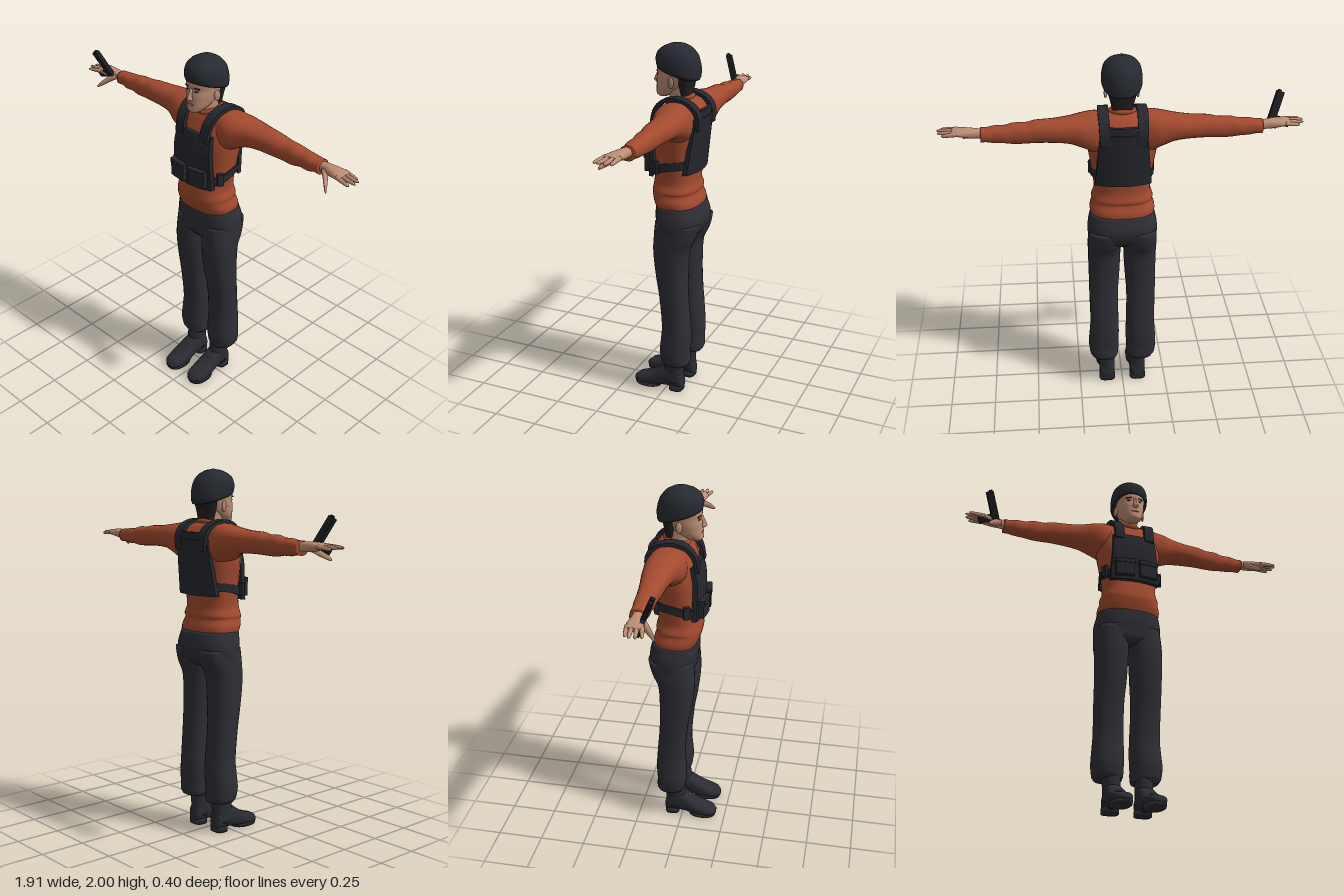
import * as THREE from 'three';

const mat = (name, color) => {
  const m = new THREE.MeshStandardMaterial({ color });
  m.name = name;
  return m;
};
const M = {
  sweater: mat('rust sweater', 0xa34a2f),
  pants: mat('charcoal trousers', 0x2e2e36),
  boots: mat('dark boots', 0x2b2c33),
  vest: mat('black vest', 0x25272d),
  helmet: mat('dark helmet', 0x272a31),
  skin: mat('skin', 0xbd8d75),
  lips: mat('lips', 0x94604f),
  dark: mat('hair and eyes', 0x221f20),
  gun: mat('gunmetal', 0x1c1d21),
};

// Smooth interpolation through rows of numbers
function spline(rows, sub) {
  const out = [], n = rows.length;
  for (let i = 0; i < n - 1; i++) {
    const a = rows[Math.max(i - 1, 0)], b = rows[i], c = rows[i + 1], d = rows[Math.min(i + 2, n - 1)];
    for (let s = 0; s < sub; s++) {
      const t = s / sub;
      out.push(b.map((_, k) => k === 0 ? b[0] + (c[0] - b[0]) * t :
        0.5 * (2 * b[k] + (c[k] - a[k]) * t + (2 * a[k] - 5 * b[k] + 4 * c[k] - d[k]) * t * t
          + (3 * b[k] - a[k] - 3 * c[k] + d[k]) * t * t * t)));
    }
  }
  out.push(rows[n - 1]);
  return out;
}

// Closed skin over rounded sections [t, u0, u1, v0, v1], given in rising t.
// axis 0: t=x, u=z, v=y   axis 1: t=y, u=x, v=z   axis 2: t=z, u=y, v=x
function loft(axis, rows, { sides = 24, power = 2.3, sub = 4 } = {}) {
  const secs = spline(rows, sub), pos = [], idx = [], u = (axis + 2) % 3, v = (axis + 1) % 3;
  const put = (t, a, b) => { const p = []; p[axis] = t; p[u] = a; p[v] = b; pos.push(...p); };
  const se = (c) => Math.sign(c) * Math.pow(Math.abs(c), 2 / power);
  for (const [t, u0, u1, v0, v1] of secs)
    for (let j = 0; j < sides; j++) {
      const th = j / sides * Math.PI * 2;
      put(t, (u0 + u1) / 2 + (u1 - u0) / 2 * se(Math.cos(th)), (v0 + v1) / 2 + (v1 - v0) / 2 * se(Math.sin(th)));
    }
  const last = (secs.length - 1) * sides, c0 = secs.length * sides;
  for (const s of [secs[0], secs[secs.length - 1]]) put(s[0], (s[1] + s[2]) / 2, (s[3] + s[4]) / 2);
  for (let j = 0; j < sides; j++) {
    const k = (j + 1) % sides;
    for (let i = 0; i < last; i += sides)
      idx.push(i + j, i + sides + j, i + k, i + k, i + sides + j, i + sides + k);
    idx.push(c0, j, k, c0 + 1, last + k, last + j);
  }
  const g = new THREE.BufferGeometry();
  g.setAttribute('position', new THREE.Float32BufferAttribute(pos, 3));
  g.setIndex(idx);
  g.computeVertexNormals();
  return g;
}
// Symmetric upright loft from rows [y, half width, z0, z1]
const body = (rows, o) => loft(1, rows.map(([y, w, a, b]) => [y, -w, w, a, b]), o);

// Move each vertex by a rule
function warp(g, rule) {
  const p = g.attributes.position, q = new THREE.Vector3();
  for (let i = 0; i < p.count; i++) {
    rule(q.fromBufferAttribute(p, i));
    p.setXYZ(i, q.x, q.y, q.z);
  }
  g.computeVertexNormals();
  return g;
}

// Flat band of width w along W, following a smooth path
function strap(points, w, t, W) {
  const curve = new THREE.CatmullRomCurve3(points.map((p) => new THREE.Vector3(...p)));
  return warp(new THREE.BoxGeometry(w, 1, t, 1, 20, 1), (q) => {
    const s = THREE.MathUtils.clamp(q.y + 0.5, 0, 1), T = curve.getTangent(s);
    const N = new THREE.Vector3().crossVectors(W, T).normalize();
    q.copy(curve.getPoint(s).addScaledVector(W, q.x).addScaledVector(N, q.z));
  });
}

// Curved plate hugging the trunk: depth(y) at the middle, falling off sideways
function plate(x, y, w, h, t, depth, k, taper = 0) {
  return warp(new THREE.BoxGeometry(w, h, t, 10, 8, 1), (q) => {
    q.x = x + q.x * (1 - taper * (q.y / h + 0.5));
    q.y += y;
    q.z += depth(q.y) - k * q.x * q.x;
  });
}

function mirrored(g) {
  const m = g.clone().scale(-1, 1, 1), ix = m.index.array;
  for (let i = 0; i < ix.length; i += 3) [ix[i], ix[i + 1]] = [ix[i + 1], ix[i]];
  m.computeVertexNormals();
  return m;
}

export function createModel() {
  const root = new THREE.Group();
  root.name = 'figure';
  const add = (name, g, m) => {
    const mesh = new THREE.Mesh(g, m);
    mesh.name = name;
    root.add(mesh);
    return mesh;
  };
  const pair = (name, g, m) => { add('left ' + name, g, m); add('right ' + name, mirrored(g), m); };
  const X = new THREE.Vector3(1, 0, 0), Y = new THREE.Vector3(0, 1, 0);

  // Trousers
  add('hips', body([[0.94, 0.15, -0.13, 0.04], [0.97, 0.183, -0.165, 0.062], [1.02, 0.19, -0.188, 0.068],
    [1.07, 0.188, -0.19, 0.074], [1.135, 0.174, -0.172, 0.074]], { sides: 32, power: 2.5 }), M.pants);
  pair('trouser leg', loft(1, [[0.18, 0.03, 0.175, -0.138, 0.008], [0.2, 0.024, 0.188, -0.145, 0.018],
    [0.26, 0.022, 0.195, -0.143, 0.026], [0.33, 0.02, 0.19, -0.147, 0.022], [0.42, 0.022, 0.184, -0.143, 0.016],
    [0.6, 0.024, 0.187, -0.128, 0.03], [0.75, 0.014, 0.188, -0.126, 0.055], [0.88, 0.008, 0.19, -0.134, 0.068],
    [0.96, 0.003, 0.19, -0.17, 0.066], [1.04, 0.004, 0.185, -0.188, 0.06]], { power: 2.4 }), M.pants);

  // Boots
  pair('boot shaft', loft(1, [[0.05, 0.045, 0.135, -0.1, 0.02], [0.12, 0.045, 0.135, -0.1, 0.02],
    [0.22, 0.042, 0.14, -0.104, 0.008]]), M.boots);
  pair('boot foot', loft(2, [[-0.102, 0.02, 0.07, 0.065, 0.115], [-0.09, 0.012, 0.11, 0.05, 0.13],
    [-0.03, 0.014, 0.15, 0.043, 0.135], [0.01, 0.014, 0.142, 0.04, 0.138], [0.07, 0.006, 0.1, 0.034, 0.146],
    [0.13, 0.004, 0.072, 0.034, 0.148], [0.175, 0.006, 0.057, 0.045, 0.138], [0.198, 0.014, 0.038, 0.07, 0.112]],
    { power: 2.6 }), M.boots);
  pair('boot heel', loft(1, [[0, 0.044, 0.136, -0.1, -0.02], [0.03, 0.044, 0.136, -0.1, -0.02]], { power: 3, sub: 1 }), M.boots);
  pair('boot sole', loft(1, [[0, 0.036, 0.146, 0.04, 0.194], [0.018, 0.034, 0.148, 0.035, 0.2]], { sub: 1 }), M.boots);

  // Sweater
  add('sweater trunk', body([[1.12, 0.172, -0.168, 0.072], [1.16, 0.176, -0.165, 0.085], [1.2, 0.164, -0.15, 0.095],
    [1.22, 0.166, -0.155, 0.094], [1.26, 0.152, -0.145, 0.088], [1.33, 0.156, -0.147, 0.078], [1.42, 0.168, -0.16, 0.078],
    [1.52, 0.184, -0.172, 0.077], [1.6, 0.188, -0.178, 0.062], [1.66, 0.175, -0.17, 0.035],
    [1.7, 0.12, -0.14, 0.012], [1.72, 0.07, -0.105, 0.005]], { sides: 36, power: 2.5 }), M.sweater);
  pair('sleeve', loft(0, [[0.06, -0.15, 0.02, 1.52, 1.705], [0.14, -0.168, 0.035, 1.5, 1.717], [0.2, -0.175, 0.03, 1.53, 1.71],
    [0.27, -0.168, 0, 1.56, 1.7], [0.35, -0.16, -0.015, 1.57, 1.69], [0.45, -0.146, -0.025, 1.57, 1.685],
    [0.5, -0.142, -0.034, 1.568, 1.675], [0.56, -0.136, -0.036, 1.566, 1.675], [0.61, -0.136, -0.042, 1.574, 1.664],
    [0.66, -0.13, -0.04, 1.574, 1.662], [0.7, -0.13, -0.046, 1.582, 1.655], [0.73, -0.127, -0.045, 1.58, 1.655]]), M.sweater);
  const collar = new THREE.TorusGeometry(0.063, 0.013, 10, 32).rotateX(Math.PI / 2 + 0.22).translate(0, 1.712, -0.045);
  add('collar', collar, M.sweater);

  // Hands
  pair('palm', loft(0, [[0.71, -0.112, -0.058, 1.597, 1.647], [0.75, -0.11, -0.055, 1.6, 1.65], [0.79, -0.113, -0.043, 1.602, 1.652],
    [0.83, -0.117, -0.03, 1.61, 1.65], [0.865, -0.115, -0.025, 1.616, 1.646], [0.878, -0.105, -0.033, 1.622, 1.642]]), M.skin);
  const fingers = [[-0.107, -0.1, 0.928, 1.622], [-0.084, -0.077, 0.95, 1.628], [-0.06, -0.046, 0.954, 1.63], [-0.036, -0.018, 0.938, 1.626]];
  fingers.forEach(([z0, z1, tip, y], i) => {
    const at = (t, r) => {
      const z = z0 + (z1 - z0) * t, h = 1.632 + (y - 1.632) * t;
      return [0.85 + (tip - 0.85) * t, z - r, z + r, h - r, h + r];
    };
    pair('finger ' + (i + 1), loft(0, [at(0, 0.012), at(0.5, 0.011), at(0.9, 0.008), at(1, 0.003)], { sides: 10, power: 2 }), M.skin);
  });
  pair('thumb', loft(0, [[0.75, -0.08, -0.045, 1.605, 1.635], [0.785, -0.058, -0.018, 1.585, 1.622],
    [0.812, -0.022, 0.006, 1.565, 1.595], [0.83, 0.004, 0.018, 1.555, 1.57]], { sides: 12, power: 2 }), M.skin);

  // Vest panels, pouches and straps
  const front = (y) => 0.096 - 0.9 * Math.max(0, y - 1.49) ** 1.6;
  const back = (y) => 0.16 + 0.1 * (y - 1.33);
  add('front panel', plate(0, 1.45, 0.285, 0.3, 0.026, front, 1.3, 0.15), M.vest);
  add('back panel', plate(0, 1.48, 0.3, 0.3, 0.024, back, 1.5, 0.18).rotateY(Math.PI), M.vest);
  add('upper back panel', plate(0, 1.645, 0.16, 0.05, 0.02, () => 0.185, 1.5).rotateY(Math.PI), M.vest);
  pair('front pouch', plate(0.068, 1.365, 0.105, 0.095, 0.03, () => 0.118, 1), M.vest);
  pair('pouch flap', plate(0.068, 1.404, 0.11, 0.026, 0.034, () => 0.12, 1), M.vest);
  pair('shoulder strap', strap([[0.086, 1.57, 0.08], [0.09, 1.65, 0.062], [0.096, 1.7, 0.025], [0.1, 1.722, -0.03],
    [0.102, 1.72, -0.09], [0.1, 1.69, -0.155], [0.098, 1.64, -0.183], [0.092, 1.57, -0.18]], 0.055, 0.022, X), M.vest);
  pair('side belt', strap([[0.1, 1.385, -0.15], [0.14, 1.38, -0.115], [0.163, 1.37, -0.04], [0.155, 1.35, 0.03],
    [0.12, 1.345, 0.076]], 0.045, 0.014, Y), M.vest);
  pair('belt buckle', new THREE.BoxGeometry(0.022, 0.07, 0.035).rotateY(-0.4).translate(0.162, 1.36, 0.035), M.vest);

  // Head and neck
  add('neck', body([[1.66, 0.058, -0.1, 0.02], [1.72, 0.053, -0.1, 0.018], [1.79, 0.055, -0.1, 0.03]]), M.skin);
  add('head', body([[1.712, 0.022, 0.035, 0.082], [1.725, 0.04, 0, 0.093], [1.75, 0.058, -0.04, 0.092], [1.78, 0.069, -0.08, 0.091],
    [1.81, 0.076, -0.1, 0.09], [1.84, 0.08, -0.115, 0.084], [1.87, 0.084, -0.12, 0.086], [1.93, 0.08, -0.11, 0.07]], { sides: 32, power: 2.2 }), M.skin);
  add('nose', loft(1, [[1.783, -0.01, 0.01, 0.07, 0.098], [1.793, -0.016, 0.016, 0.07, 0.111], [1.805, -0.012, 0.012, 0.07, 0.109],
    [1.85, -0.008, 0.008, 0.06, 0.09]], { sides: 14, power: 2 }), M.skin);
  add('mouth', new THREE.SphereGeometry(1, 16, 8).scale(0.023, 0.006, 0.006).translate(0, 1.762, 0.089), M.lips);
  pair('eye', new THREE.SphereGeometry(1, 12, 8).scale(0.012, 0.005, 0.004).rotateY(0.3).translate(0.032, 1.836, 0.077), M.dark);
  pair('eyebrow', new THREE.BoxGeometry(0.032, 0.006, 0.006).rotateZ(-0.08).rotateY(0.3).translate(0.034, 1.854, 0.078), M.dark);
  pair('ear', new THREE.SphereGeometry(1, 12, 10).scale(0.009, 0.031, 0.018).rotateY(-0.3).translate(0.083, 1.802, -0.02), M.skin);
  add('hair', body([[1.7, 0.05, -0.105, -0.055], [1.75, 0.058, -0.108, -0.045], [1.8, 0.07, -0.117, -0.035],
    [1.86, 0.084, -0.13, -0.03]]), M.dark);

  // Helmet, with its rim rising toward the front
  const tilt = (q) => { q.y += (q.z + 0.03) * 0.3 * Math.min(1, (2 - q.y) / 0.14); };
  add('helmet', warp(body([[1.846, 0.1, -0.143, 0.088], [1.86, 0.105, -0.149, 0.092], [1.9, 0.105, -0.15, 0.093], [1.945, 0.096, -0.135, 0.08],
    [1.975, 0.073, -0.105, 0.052], [1.993, 0.04, -0.068, 0.018], [2, 0.006, -0.03, -0.02]], { sides: 36, power: 2.1 }), tilt), M.helmet);

  // Pistol at the right hand
  const gun = new THREE.Group();
  gun.name = 'pistol';
  const piece = (name, w, h, d, x, y) => {
    const m = new THREE.Mesh(new THREE.BoxGeometry(w, h, d), M.gun);
    m.name = name;
    m.position.set(x, y, 0);
    gun.add(m);
  };
  piece('slide', 0.04, 0.165, 0.026, 0, 0);
  piece('muzzle', 0.018, 0.012, 0.016, 0.006, 0.085);
  piece('grip', 0.09, 0.04, 0.024, -0.05, -0.062);
  gun.position.set(-0.81, 1.695, -0.022);
  gun.quaternion.setFromUnitVectors(Y, new THREE.Vector3(-0.055, 0.14, 0.06).normalize());
  root.add(gun);

  return root;
}
